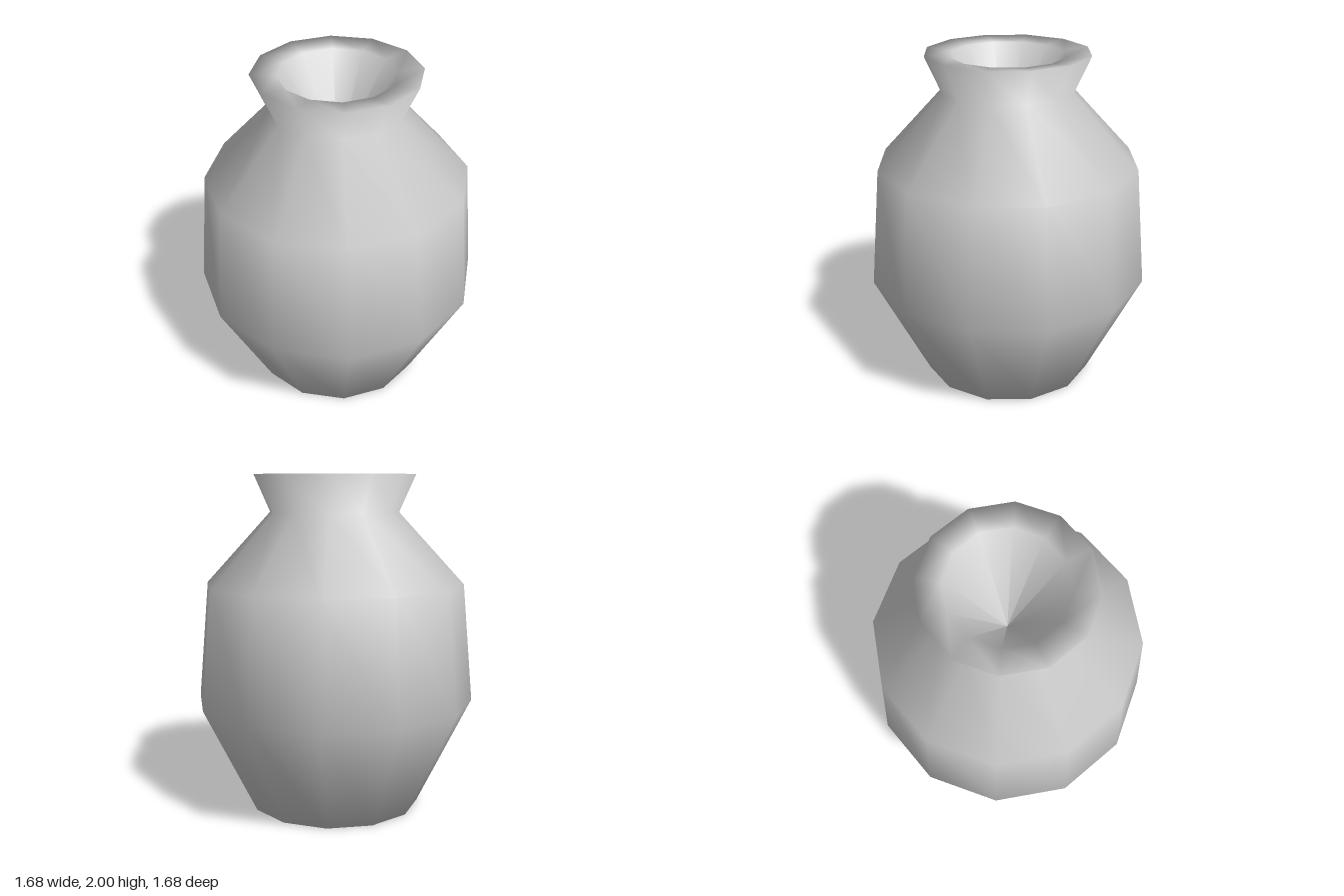
import * as THREE from 'three';

export function createModel() {
  const group = new THREE.Group();
  group.name = 'vase';

  const clay = new THREE.MeshStandardMaterial({ color: 0xcccccc });
  clay.name = 'clay grey';

  // One closed profile: base, belly, shoulder, neck, rim, lip and tapered hollow
  const profile = [
    [0, 0],
    [0.515, 0],
    [0.838, 0.65],
    [0.775, 1.355],
    [0.385, 1.78],
    [0.482, 2],
    [0.335, 1.985],
    [0, 1.45],
  ].map(([r, y]) => new THREE.Vector2(r, y));

  // Twelve sides with smooth normals
  const body = new THREE.Mesh(new THREE.LatheGeometry(profile, 12), clay);
  body.name = 'vaseBody';
  group.add(body);

  return group;
}
